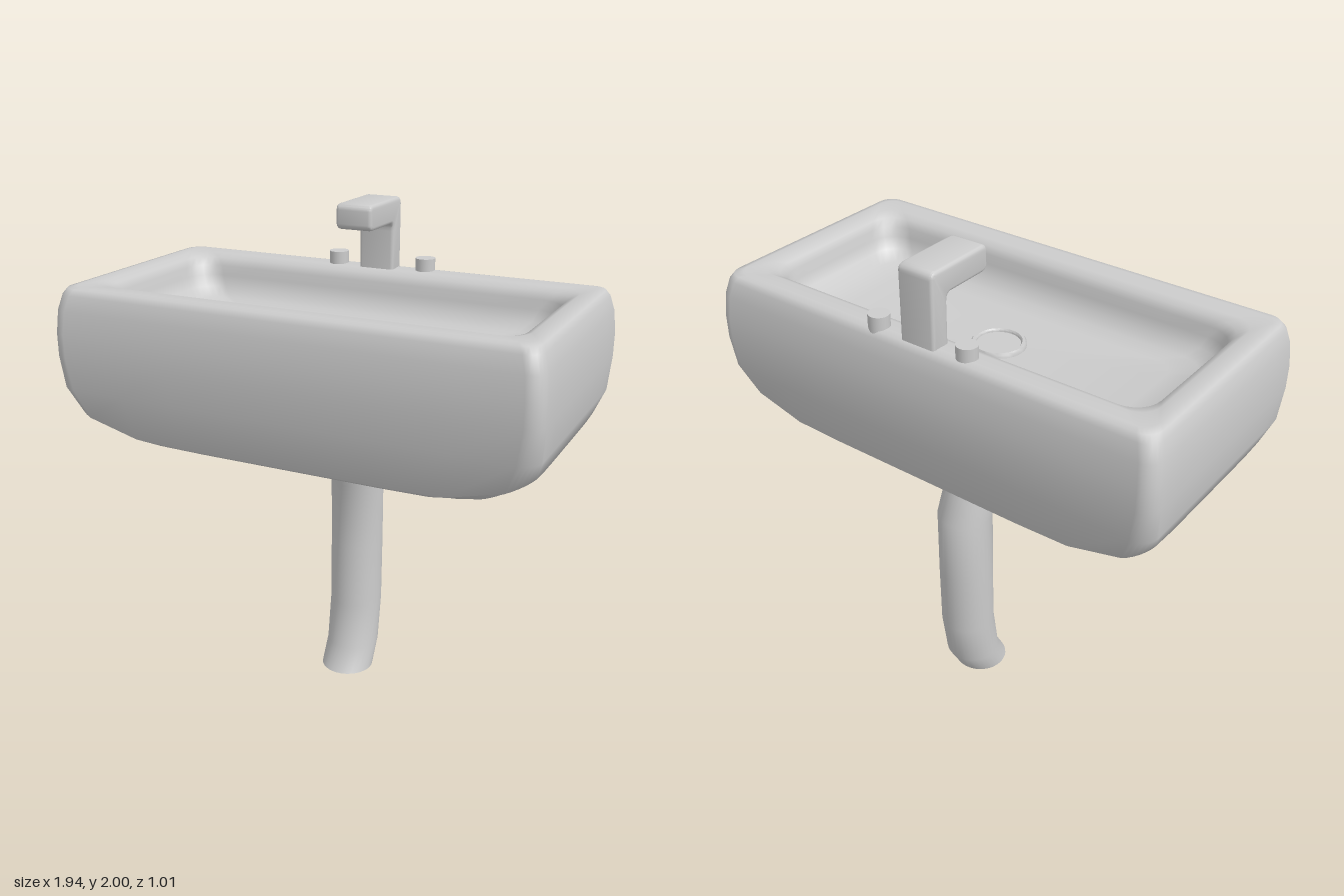
import * as THREE from 'three';
import { toCreasedNormals } from 'three/addons/utils/BufferGeometryUtils.js';

const material = new THREE.MeshStandardMaterial({ color: 0xcccccc });
const thin = new THREE.MeshStandardMaterial({ color: 0xcccccc, side: THREE.DoubleSide });

function add(group, name, geometry, x = 0, y = 0, z = 0, mat = material) {
  const mesh = new THREE.Mesh(geometry, mat);
  mesh.name = name;
  mesh.position.set(x, y, z);
  group.add(mesh);
  return mesh;
}

// Closed loop of [x, z] points around a rounded rectangle
function roundedLoop(hx, hz, r) {
  const arc = 6, edge = 8, points = [];
  const corners = [[1, 1], [-1, 1], [-1, -1], [1, -1]];
  const onArc = (k, t) => {
    const a = (k + t) * Math.PI / 2;
    return [corners[k][0] * (hx - r) + r * Math.cos(a), corners[k][1] * (hz - r) + r * Math.sin(a)];
  };
  for (let k = 0; k < 4; k++) {
    for (let i = 0; i <= arc; i++) points.push(onArc(k, i / arc));
    const p = onArc(k, 1), q = onArc((k + 1) % 4, 0);
    for (let i = 1; i < edge; i++) {
      const t = i / edge;
      points.push([p[0] + (q[0] - p[0]) * t, p[1] + (q[1] - p[1]) * t]);
    }
  }
  return points;
}

// Skin between loops of [x, y, z] points
function loft(loops) {
  const n = loops[0].length, index = [];
  for (let j = 0; j < loops.length - 1; j++) {
    for (let i = 0; i < n; i++) {
      const a = j * n + i, b = j * n + (i + 1) % n;
      index.push(a, a + n, b, b, a + n, b + n);
    }
  }
  const geometry = new THREE.BufferGeometry();
  geometry.setAttribute('position', new THREE.Float32BufferAttribute(loops.flat(2), 3));
  geometry.setIndex(index);
  geometry.computeVertexNormals();
  return geometry;
}

function basinGeometry() {
  const loops = [];
  // Bulging underside
  const underside = (x, z) => 1.045 + Math.hypot(
    0.185 * Math.pow(Math.abs(x) / 0.93, 4.5), 0.095 * Math.pow(Math.abs(z) / 0.455, 3));
  for (const s of [0.001, 0.2, 0.4, 0.6, 0.75, 0.88, 1]) {
    loops.push(roundedLoop(0.93 * s, 0.455 * s, 0.08 * s).map(([x, z]) => [x, underside(x, z), z]));
  }
  // Outer walls, rim, inner walls and bowl floor: half width, half depth, corner radius, height
  const rings = [
    [0.962, 0.493, 0.07, 1.32], [0.97, 0.504, 0.06, 1.45], [0.97, 0.504, 0.06, 1.54],
    [0.962, 0.495, 0.06, 1.63], [0.945, 0.48, 0.06, 1.69], [0.93, 0.465, 0.06, 1.713],
    [0.905, 0.44, 0.06, 1.718], [0.86, 0.375, 0.08, 1.714], [0.832, 0.345, 0.1, 1.7],
    [0.816, 0.33, 0.11, 1.67], [0.81, 0.325, 0.11, 1.63], [0.79, 0.31, 0.11, 1.585],
    [0.74, 0.275, 0.1, 1.55], [0.64, 0.23, 0.09, 1.53], [0.4, 0.15, 0.06, 1.515],
    [0.2, 0.08, 0.03, 1.51], [0.001, 0.0005, 0.0002, 1.508],
  ];
  for (const [hx, hz, r, y] of rings) loops.push(roundedLoop(hx, hz, r).map(([x, z]) => [x, y, z]));
  return loft(loops);
}

// Bent pipe with level cross-sections: height and depth of each
function pedestalGeometry() {
  const path = [[0, -0.13], [0.1, -0.185], [0.29, -0.215], [0.57, -0.22], [0.85, -0.22], [1.06, -0.13], [1.15, -0.1]];
  return loft(path.map(([y, zc]) => Array.from({ length: 32 }, (_, i) => {
    const a = i / 32 * Math.PI * 2;
    return [0.11 * Math.cos(a), y, zc + 0.11 * Math.sin(a)];
  })));
}

// Angular spout drawn from the side, then given its width
function faucetGeometry() {
  const b = 0.014, s = new THREE.Shape();
  s.moveTo(-0.46 + b, 1.69);
  s.lineTo(-0.46 + b, 1.97);
  s.quadraticCurveTo(-0.46 + b, 2 - b, -0.43, 2 - b);
  s.lineTo(-0.185, 2 - b);
  s.quadraticCurveTo(-0.16 - b, 2 - b, -0.16 - b, 1.975);
  s.lineTo(-0.16 - b, 1.925);
  s.quadraticCurveTo(-0.16 - b, 1.9 + b, -0.19, 1.9 + b);
  s.lineTo(-0.36, 1.9 + b);
  s.quadraticCurveTo(-0.38 - b, 1.9 + b, -0.38 - b, 1.87);
  s.lineTo(-0.38 - b, 1.69);
  const depth = 0.15 - 2 * b;
  const g = new THREE.ExtrudeGeometry(s, {
    depth, bevelEnabled: true, bevelSize: b, bevelThickness: b, bevelSegments: 3, curveSegments: 5,
  });
  g.translate(0, 0, -depth / 2).rotateY(-Math.PI / 2);
  return toCreasedNormals(g, 0.6);
}

export function createModel() {
  const group = new THREE.Group();
  group.name = 'pedestalSink';
  add(group, 'basin', basinGeometry());
  add(group, 'pedestal', pedestalGeometry(), -0.005, 0, 0, thin);
  add(group, 'faucet', faucetGeometry(), -0.005);

  // Tap knobs
  add(group, 'leftKnob', new THREE.CylinderGeometry(0.04, 0.04, 0.07, 24), 0.19, 1.73, -0.432);
  add(group, 'rightKnob', new THREE.CylinderGeometry(0.04, 0.04, 0.07, 24), -0.19, 1.73, -0.42);

  // Drain ring and plug
  const ring = [[0.106, 1.5], [0.106, 1.522], [0.1, 1.53], [0.09, 1.53], [0.085, 1.524], [0.085, 1.505]]
    .map(([r, y]) => new THREE.Vector2(r, y));
  add(group, 'drainRing', toCreasedNormals(new THREE.LatheGeometry(ring, 32), 0.7), -0.007, 0, 0, thin);
  add(group, 'drainPlug', new THREE.CylinderGeometry(0.086, 0.086, 0.02, 32), -0.007, 1.507, 0);
  return group;
}
